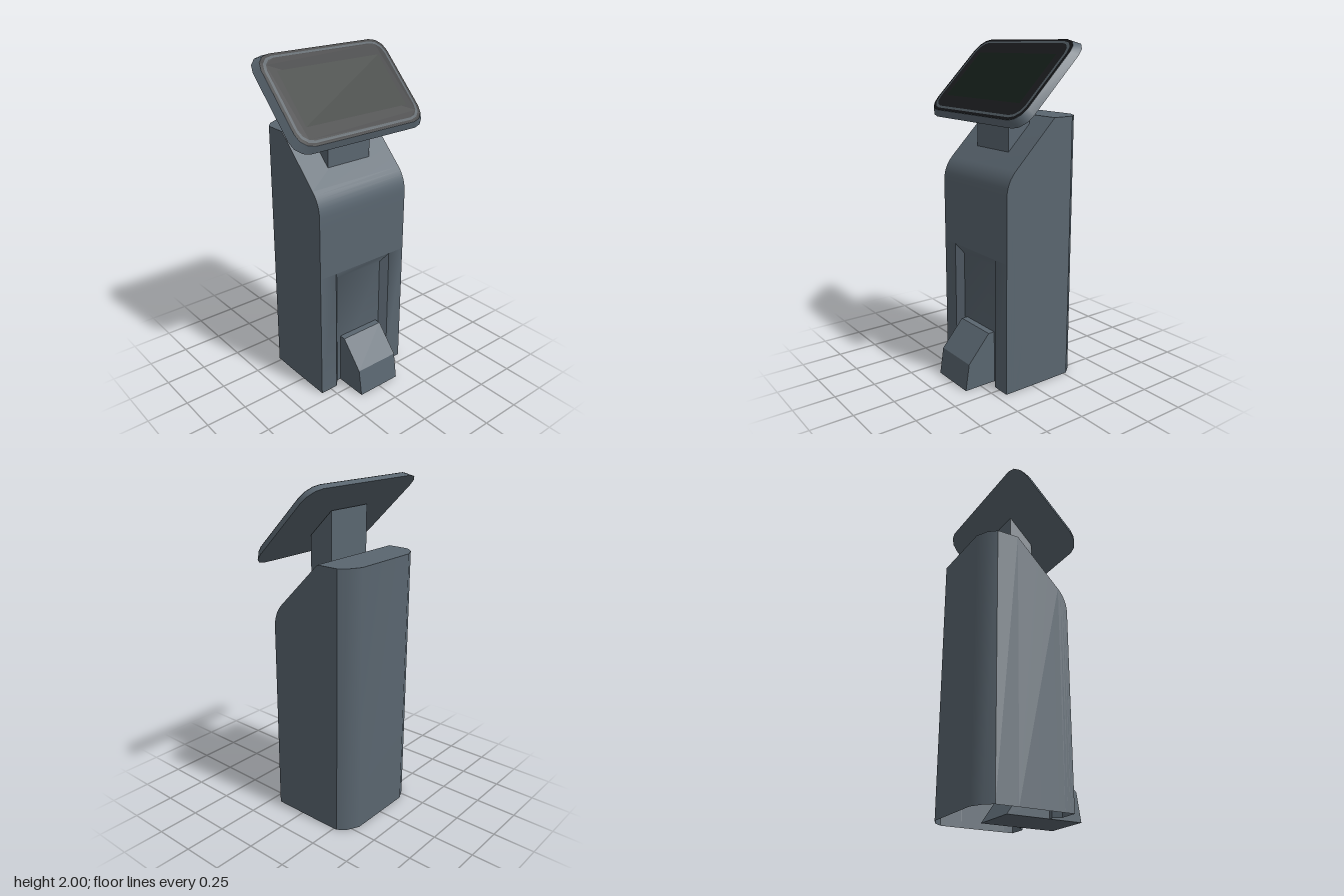
import * as THREE from 'three';
import { toCreasedNormals } from 'three/addons/utils/BufferGeometryUtils.js';

const material = (color) => new THREE.MeshStandardMaterial({ color, side: THREE.DoubleSide });
const slate = material(0x5a6670);
const black = material(0x131517);
const ringGrey = material(0x4a545b);
const panelBlack = material(0x1a1b1e);
const screenGreen = material(0x141e18);

function addMesh(parent, name, geometry, mat) {
  const mesh = new THREE.Mesh(geometry, mat);
  mesh.name = name;
  parent.add(mesh);
  return mesh;
}

// Geometry from a list of four-cornered faces
function quadGeometry(quads) {
  const pos = [];
  for (const [a, b, c, d] of quads) pos.push(...a, ...b, ...c, ...a, ...c, ...d);
  const g = new THREE.BufferGeometry();
  g.setAttribute('position', new THREE.Float32BufferAttribute(pos, 3));
  g.computeVertexNormals();
  return g;
}

// Side profile of [z, y] points extruded across x
function profileGeometry(points, width) {
  const shape = new THREE.Shape(points.map(([z, y]) => new THREE.Vector2(-z, y)));
  const g = new THREE.ExtrudeGeometry(shape, { depth: width, bevelEnabled: false });
  return g.translate(0, 0, -width / 2).rotateY(Math.PI / 2);
}

// Rectangle with three-step corners
function plateShape(w, h, r) {
  const pts = [];
  const corners = [[1, 1], [-1, 1], [-1, -1], [1, -1]];
  corners.forEach(([sx, sy], i) => {
    for (let k = 0; k <= 3; k++) {
      const a = (i + k / 3) * Math.PI / 2;
      pts.push(new THREE.Vector2(sx * (w - r) + r * Math.cos(a), sy * (h - r) + r * Math.sin(a)));
    }
  });
  return new THREE.Shape(pts);
}

// Hollow cabinet: samples run [z, half width, top height] from front to back
function createCabinet() {
  const W = 0.318, F = 0.19, R = 0.2, frontTop = 1.1;
  const samples = [[F, W, frontTop]];
  for (let i = 0; i <= 6; i++) {
    const a = (i / 6) * Math.PI / 4;
    samples.push([F - R + R * Math.cos(a), W, 1.167 + R * Math.sin(a)]);
  }
  samples.push([-0.14, W, 1.58], [-0.272, W - 0.003, 1.58], [-0.32, 0.275, 1.58], [-0.355, 0.207, 1.58]);
  const quads = [];
  for (let i = 0; i < samples.length - 1; i++) {
    const [z0, x0, y0] = samples[i], [z1, x1, y1] = samples[i + 1];
    quads.push([[-x0, y0, z0], [x0, y0, z0], [x1, y1, z1], [-x1, y1, z1]]);
    if (z0 - z1 < 1e-5) continue;
    quads.push([[x0, 0, z0], [x1, 0, z1], [x1, y1, z1], [x0, y0, z0]]);
    quads.push([[-x1, 0, z1], [-x0, 0, z0], [-x0, y0, z0], [-x1, y1, z1]]);
  }
  const [zb, xb, yb] = samples[samples.length - 1];
  quads.push([[xb, 0, zb], [-xb, 0, zb], [-xb, yb, zb], [xb, yb, zb]]);

  // Front wall around the recess
  const o = 0.205, oTop = 0.79, n = 0.167, nTop = 0.73, D = 0.15;
  quads.push([[-W, 0, F], [-o, 0, F], [-o, oTop, F], [-W, oTop, F]]);
  quads.push([[o, 0, F], [W, 0, F], [W, oTop, F], [o, oTop, F]]);
  quads.push([[-W, oTop, F], [W, oTop, F], [W, frontTop, F], [-W, frontTop, F]]);
  // Splayed recess
  quads.push([[-o, 0, F], [-n, 0, D], [-n, nTop, D], [-o, oTop, F]]);
  quads.push([[n, 0, D], [o, 0, F], [o, oTop, F], [n, nTop, D]]);
  quads.push([[-n, nTop, D], [n, nTop, D], [o, oTop, F], [-o, oTop, F]]);
  quads.push([[-n, 0, D], [n, 0, D], [n, nTop, D], [-n, nTop, D]]);
  return toCreasedNormals(quadGeometry(quads), 0.65);
}

// Tilted display; local +z is the viewing side
function createDisplay() {
  const display = new THREE.Group();
  display.name = 'display';
  display.position.set(0, 1.795, 0.01);
  display.rotation.x = -Math.PI / 4;

  // Housing flares out toward the back
  const w = 0.44, h = 0.287, t = 0.04;
  const housing = new THREE.ExtrudeGeometry(plateShape(w, h, 0.09), { depth: t, bevelEnabled: false });
  housing.translate(0, 0, -t);
  const p = housing.attributes.position;
  for (let i = 0; i < p.count; i++) {
    if (p.getZ(i) < -t / 2) p.setXY(i, p.getX(i) * 1.06, p.getY(i) * 1.07);
  }
  addMesh(display, 'displayHousing', toCreasedNormals(housing, 0.6), slate);

  // Layered face plates
  const layers = [
    ['bezel', w, h, 0.09, black],
    ['bezelRing', 0.424, 0.271, 0.082, ringGrey],
    ['glassPanel', 0.41, 0.257, 0.075, panelBlack],
  ];
  layers.forEach(([name, lw, lh, r, mat], i) => {
    const plate = addMesh(display, name, new THREE.ShapeGeometry(plateShape(lw, lh, r)), mat);
    plate.position.z = 0.0015 * (i + 1);
  });
  const screen = addMesh(display, 'screen', new THREE.PlaneGeometry(0.71, 0.35), screenGreen);
  screen.position.z = 0.006;
  return display;
}

export function createModel() {
  const model = new THREE.Group();
  model.name = 'kiosk';
  addMesh(model, 'cabinet', createCabinet(), slate);

  // Wedge foot standing in the recess
  const foot = [[0.355, 0], [0.33, 0.16], [0.19, 0.32], [0.11, 0.32], [-0.11, 0]];
  addMesh(model, 'foot', profileGeometry(foot, 0.286), slate);

  // Neck rising from the sloped top to the display
  const neck = [[0.055, 1.38], [0.055, 1.685], [-0.095, 1.835], [-0.095, 1.53]];
  addMesh(model, 'neck', profileGeometry(neck, 0.304), slate);

  model.add(createDisplay());
  return model;
}
